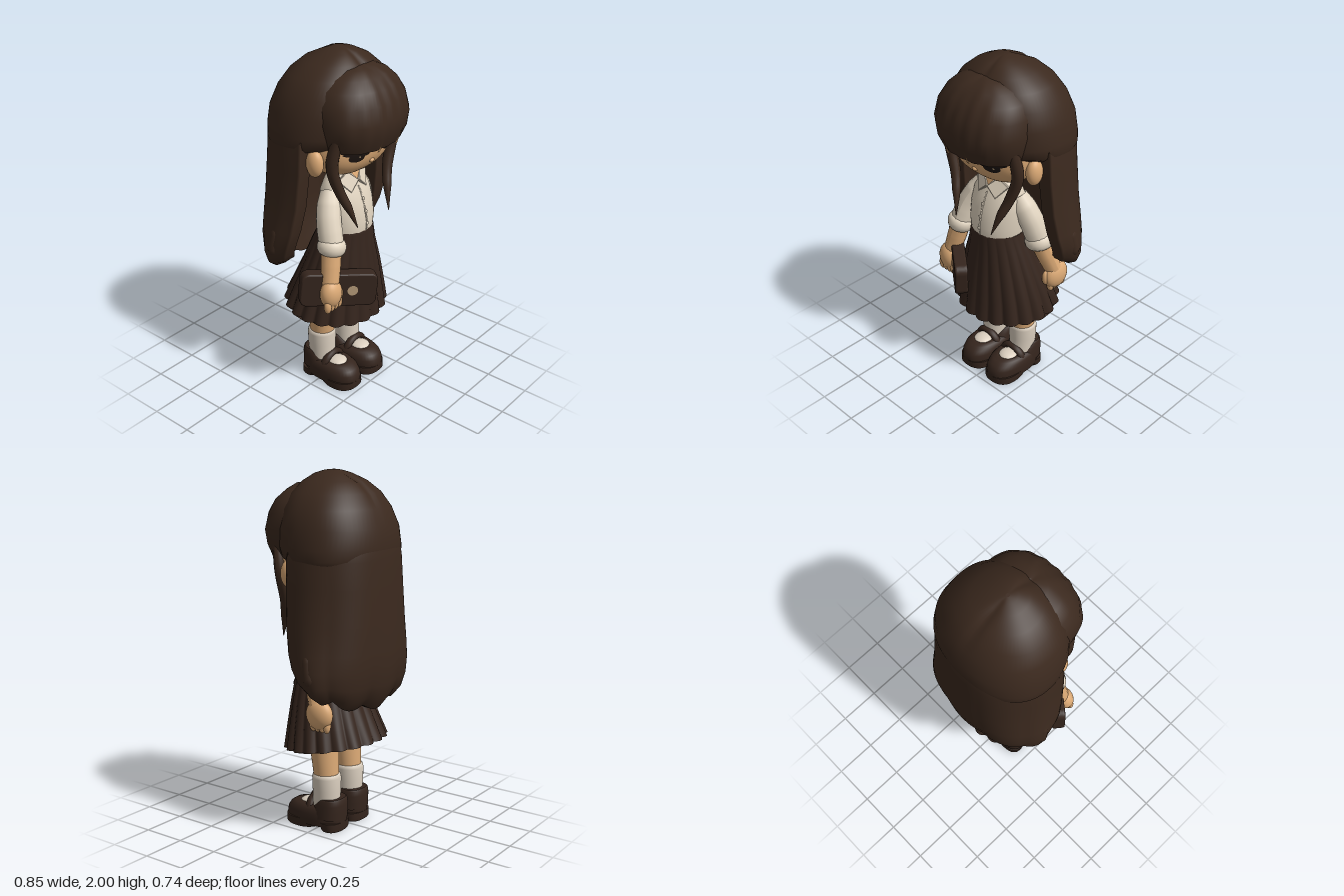
import * as THREE from 'three';

const mat = (name, color, side = THREE.FrontSide) => {
  const m = new THREE.MeshStandardMaterial({ color, side });
  m.name = name;
  return m;
};
const gauss = (d, w) => Math.exp(-((d / w) ** 2));

export function createModel() {
  const root = new THREE.Group();
  root.name = 'schoolgirlFigure';
  const hair = mat('hairBrown', 0x3b291e);
  const skirtMat = mat('skirtBrown', 0x35251d);
  const leather = mat('leatherBrown', 0x35251d);
  const skin = mat('skin', 0xdcaa76, THREE.DoubleSide);
  const cloth = mat('shirtCream', 0xe0d3bf, THREE.DoubleSide);
  const sockMat = mat('sockWhite', 0xdbcfbf);
  const ink = mat('eyeBlack', 0x1b1310);
  const lip = mat('lipBrown', 0xa9734e);
  const gold = mat('badgeTan', 0xb59a78);

  const add = (name, geo, m, pos = [0, 0, 0], parent = root) => {
    const mesh = new THREE.Mesh(geo, m);
    mesh.name = name;
    mesh.position.set(...pos);
    parent.add(mesh);
    return mesh;
  };

  // Skin over closed rings listed bottom to top, with both ends capped
  const loft = (rings) => {
    const n = rings[0].length, pos = rings.flat(2), idx = [];
    for (let i = 0; i < rings.length - 1; i++)
      for (let j = 0; j < n; j++) {
        const a = i * n + j, b = i * n + (j + 1) % n;
        idx.push(a, a + n, b, b, a + n, b + n);
      }
    [rings[0], rings[rings.length - 1]].forEach((ring, top) => {
      const o = pos.length / 3;
      pos.push(...ring.flat());
      for (let j = 0; j < n / 2 - 1; j++) {
        const q = [j, j + 1, n - 1 - j, j + 1, n - 2 - j, n - 1 - j].map((k) => o + k);
        idx.push(...(top ? q.reverse() : q));
      }
    });
    const g = new THREE.BufferGeometry();
    g.setAttribute('position', new THREE.Float32BufferAttribute(pos, 3));
    g.setIndex(idx);
    g.computeVertexNormals();
    return g;
  };

  // Rounded ring: height, half width, front z, back z
  const ring = ([y, rx, zf, zb], { n = 48, p = 2, cx = 0 } = {}) =>
    Array.from({ length: n }, (_, j) => {
      const t = ((j + 0.5) / n) * Math.PI * 2, c = Math.cos(t), s = Math.sin(t);
      const k = (Math.abs(c) ** p + Math.abs(s) ** p) ** (-1 / p);
      return [cx + rx * c * k, y, (zf + zb) / 2 + ((zf - zb) / 2) * s * k];
    });
  const body = (rows, opt) => loft(rows.map((r) => ring(r, opt)));

  // Tube along a smooth path with changing radius
  const taper = (points, radii, sides = 14) => {
    const curve = new THREE.CatmullRomCurve3(points.map((q) => new THREE.Vector3(...q)));
    const steps = 24, g = new THREE.TubeGeometry(curve, steps, 1, sides), v = new THREE.Vector3();
    const P = g.attributes.position;
    for (let i = 0; i < P.count; i++) {
      const t = Math.floor(i / (sides + 1)) / steps, f = t * (radii.length - 1);
      const k = Math.min(Math.floor(f), radii.length - 2);
      const c = curve.getPointAt(t), r = THREE.MathUtils.lerp(radii[k], radii[k + 1], f - k);
      v.fromBufferAttribute(P, i).sub(c).multiplyScalar(r).add(c);
      P.setXYZ(i, v.x, v.y, v.z);
    }
    g.computeVertexNormals();
    return g;
  };
  const ball = (rx, ry, rz) => new THREE.SphereGeometry(1, 28, 20).scale(rx, ry, rz);

  // Head: rounded box-like ellipsoid with a broad chin
  const P = 2.4, HY = 1.53;
  const headGeo = new THREE.SphereGeometry(1, 48, 36), hp = headGeo.attributes.position;
  for (let i = 0; i < hp.count; i++) {
    const [x, y, z] = [hp.getX(i), hp.getY(i), hp.getZ(i)];
    const k = (Math.abs(x) ** P + Math.abs(y) ** P + Math.abs(z) ** P) ** (-1 / P);
    hp.setXYZ(i, x * k * 0.28, HY + y * k * (y < 0 ? 0.2 : 0.3), 0.05 + z * k * 0.2);
  }
  headGeo.computeVertexNormals();
  add('head', headGeo, skin);
  add('neck', new THREE.CylinderGeometry(0.06, 0.07, 0.16, 24), skin, [0, 1.31, 0.03]);
  add('nose', ball(0.018, 0.014, 0.014), skin, [0, 1.425, 0.229]);

  // Painted face details follow the head surface
  const faceZ = (x, y) => 0.05 + 0.2 * Math.max(0, 1 - Math.abs(x / 0.28) ** P - Math.abs((y - HY) / 0.2) ** P) ** (1 / P);
  const decal = (name, x, y, rx, ry, tilt, lift, m) => {
    const g = new THREE.RingGeometry(0, 1, 28, 5).scale(rx, ry, 1).rotateZ(tilt).translate(x, y, 0);
    const a = g.attributes.position;
    for (let i = 0; i < a.count; i++) a.setZ(i, faceZ(a.getX(i), a.getY(i)) + lift);
    g.computeVertexNormals();
    add(name, g, m);
  };
  decal('mouth', 0, 1.372, 0.022, 0.004, 0, 0.004, lip);

  for (const s of [-1, 1]) {
    decal('eye', s * 0.128, 1.48, 0.05, 0.026, s * 0.1, 0.004, ink);
    decal('upperLash', s * 0.128, 1.498, 0.084, 0.013, s * 0.16, 0.006, ink);
    decal('eyeGlint', s * 0.128 + 0.014, 1.482, 0.006, 0.005, 0, 0.007, gold);
    add('ear', ball(0.04, 0.075, 0.05), skin, [s * 0.288, 1.46, 0.085]);
  }

  // Hair crown with a shallow centre parting
  const crown = [
    [1.52, 0.35, 0.18, -0.325], [1.545, 0.364, 0.22, -0.337], [1.6, 0.362, 0.245, -0.341], [1.7, 0.348, 0.25, -0.33],
    [1.8, 0.314, 0.235, -0.289], [1.88, 0.257, 0.2, -0.236], [1.94, 0.182, 0.155, -0.168],
    [1.98, 0.1, 0.1, -0.09], [1.996, 0.045, 0.05, -0.04], [2, 0.01, 0.01, -0.01],
  ].map((r) => ring(r, { n: 72, p: 2.25 }).map(([x, y, z]) =>
    [x, y - 0.012 * gauss(x, 0.025) * (y > 1.85 && y < 1.99 ? 1 : 0), z]));
  add('hairCrown', loft(crown), hair);

  // Fringe
  const fringe = [
    [1.53, 0.255, 0.33, -0.09], [1.6, 0.28, 0.36, -0.1], [1.68, 0.29, 0.37, -0.1], [1.77, 0.277, 0.348, -0.1],
    [1.84, 0.24, 0.31, -0.08], [1.89, 0.185, 0.265, -0.05], [1.925, 0.11, 0.215, 0], [1.938, 0.03, 0.16, 0.06],
  ].map((r) => ring(r, { n: 96, p: 2.3 }).map(([x, y, z]) =>
    [x, y - 0.008 * gauss(x, 0.03) * (y > 1.8 ? 1 : 0), z + (z > 0.1 ? 0.003 * Math.cos(x * 75) : 0)]));
  add('fringe', loft(fringe), hair);
  for (const x of [-0.08, 0.065]) {
    const gap = new THREE.Shape([[-0.01, 0], [0.01, 0], [0, 0.09]].map((q) => new THREE.Vector2(...q)));
    add('fringeGap', new THREE.ShapeGeometry(gap), skin, [x, 1.526, 0.337]).rotation.x = 0.38;
  }

  // Long back hair: crescent sections, squarer at the top, with scalloped ends
  const M = 72;
  const mane = [
    [0.75, 0.37, -0.285, -0.1], [0.8, 0.415, -0.33, -0.07], [0.87, 0.438, -0.351, -0.045], [0.96, 0.44, -0.362, -0.015],
    [1.05, 0.424, -0.364, 0.01], [1.2, 0.397, -0.36, 0.035], [1.4, 0.38, -0.353, 0.048], [1.54, 0.372, -0.346, 0.05],
    [1.64, 0.353, -0.334, 0.04], [1.72, 0.325, -0.305, 0.03],
  ].map(([y, rx, zb, zc], i) => {
    const low = Math.max(0, 1 - i / 5), wave = Math.max(0, 1 - i / 8), Q = 2.45 - 0.4 * low;
    const arc = (thick, dir) => Array.from({ length: M }, (_, j) => {
      const a = dir * (-Math.PI / 2 + (Math.PI * j) / (M - 1)), s = Math.sin(a), c = Math.cos(a);
      const k = (Math.abs(s) ** Q + Math.abs(c) ** Q) ** (-1 / Q);
      const lobe = Math.abs(Math.cos(a * 5)), w = 1 + 0.035 * wave * (lobe - 0.6);
      const drop = low ** 2 * (0.085 * s * s - 0.035 * lobe);
      const tuck = 1 - (0.04 + 0.1 * low) * Math.abs(s) ** 24;
      return [(rx - thick) * w * k * s * tuck, y + drop, zc - (zc - zb - thick) * w * k * c];
    });
    return [...arc(0, 1), ...arc(i ? 0.08 : 0.045, -1)];
  });
  add('backHair', loft(mane), hair);

  for (const s of [-1, 1]) {
    add('sideLock', taper([[s * 0.365, 1.14, -0.1], [s * 0.38, 1.02, -0.11], [s * 0.385, 0.92, -0.13], [s * 0.365, 0.82, -0.15]],
      [0.003, 0.036, 0.04, 0.003]), hair);
    add('faceLock', taper([[s * 0.24, 1.62, 0.2], [s * 0.252, 1.45, 0.17], [s * 0.205, 1.3, 0.18], [s * 0.165, 1.19, 0.215], [s * 0.135, 1.08, 0.25]],
      [0.03, 0.033, 0.03, 0.024, 0.002]), hair);
  }

  // Shirt
  add('shirt', body([
    [0.98, 0.152, 0.2, -0.08], [1.05, 0.162, 0.205, -0.08], [1.15, 0.165, 0.185, -0.075],
    [1.22, 0.16, 0.158, -0.065], [1.28, 0.125, 0.128, -0.05], [1.33, 0.068, 0.105, -0.035],
  ]), cloth);
  add('placket', taper([[0, 1.0, 0.201], [0, 1.06, 0.203], [0, 1.15, 0.183], [0, 1.25, 0.142]], [0.005, 0.005, 0.005], 8), cloth);
  for (const [y, z] of [[1.04, 0.208], [1.11, 0.198], [1.18, 0.178]])
    add('button', ball(0.01, 0.01, 0.005), cloth, [0, y, z]);
  for (const s of [-1, 1]) {
    const flap = new THREE.Shape([[0, 0], [s * 0.062, -0.05], [s * 0.115, 0.03], [s * 0.05, 0.06]].map((q) => new THREE.Vector2(...q)));
    const g = new THREE.ExtrudeGeometry(flap, { depth: 0.012, bevelEnabled: true, bevelSize: 0.003, bevelThickness: 0.003, bevelSegments: 1 });
    add('collar', g, cloth, [0, 1.28, 0.135]).rotation.set(-0.4, s * 0.35, 0);
  }
  const vee = new THREE.Shape([[0, 0], [0.04, 0.05], [-0.04, 0.05]].map((q) => new THREE.Vector2(...q)));
  add('openNeck', new THREE.ShapeGeometry(vee), skin, [0, 1.285, 0.136]).rotation.x = -0.35;

  // Arms: shoulder, elbow and hand for each side
  for (const { shoulder, elbow, wrist, palm, size, front } of [
    { shoulder: [0.12, 1.23, 0.03], elbow: [0.23, 0.96, -0.025], wrist: [0.275, 0.76, -0.095], palm: [0.284, 0.715, -0.11], size: [0.05, 0.085, 0.082], front: 1 },
    { shoulder: [-0.12, 1.23, 0.04], elbow: [-0.215, 0.96, 0.135], wrist: [-0.265, 0.76, 0.165], palm: [-0.275, 0.71, 0.18], size: [0.068, 0.085, 0.055], front: -1 },
  ]) {
    const mid = shoulder.map((v, i) => (v + elbow[i]) / 2 + (i === 0 ? front * 0.015 : 0));
    add('sleeve', taper([shoulder, mid, elbow], [0.05, 0.066, 0.069, 0.07, 0.068]), cloth);
    const cuff = add('cuff', new THREE.TorusGeometry(0.05, 0.03, 14, 32).scale(1, 1, 1.45).rotateX(Math.PI / 2), cloth, elbow);
    cuff.rotation.z = front * 0.18;
    add('forearm', taper([elbow, elbow.map((v, i) => (v + wrist[i]) / 2), wrist], [0.056, 0.055, 0.05]), skin);
    add('hand', ball(...size), skin, palm);
    const [x, y, z] = palm;
    for (let k = 0; k < 4; k++) {
      const o = (k - 1.5) * 0.03;
      add('finger', ball(0.022, 0.042, 0.021), skin, front > 0 ? [x, y - 0.056, z + o - 0.005] : [x + o, y - 0.06, z + 0.015]);
    }
    add('thumb', ball(0.022, 0.045, 0.022), skin, front > 0 ? [x - 0.01, y, z + 0.07] : [x + 0.055, y - 0.01, z + 0.015]);
  }

  // Pleated skirt, hem higher at the back
  const skirt = [
    [0.485, 0.316, 0.258, -0.29], [0.6, 0.287, 0.244, -0.242], [0.75, 0.242, 0.227, -0.18],
    [0.9, 0.187, 0.208, -0.125], [0.985, 0.16, 0.204, -0.088], [1.0, 0.157, 0.2, -0.085],
  ].map((r, i) => ring(r, { n: 240 }).map(([x, y, z], j) => {
    const k = Math.max(0, 1 - i / 4), w = 1 + (0.005 + 0.07 * k) * (Math.abs(Math.sin((Math.PI * j) / 12)) - 0.75);
    return [x * w, y - 0.125 * z * k, z * w];
  }));
  add('skirt', loft(skirt), skirtMat);

  // Legs, socks and strap shoes
  for (const s of [-1, 1]) {
    const cx = s * 0.11, opt = { cx };
    add('leg', body([[0.28, 0.068, 0.04, -0.1], [0.42, 0.08, 0.058, -0.095], [0.56, 0.087, 0.078, -0.09]], opt), skin);
    add('sock', body([[0.1, 0.072, 0.055, -0.105], [0.17, 0.074, 0.05, -0.108], [0.23, 0.079, 0.05, -0.112],
      [0.3, 0.082, 0.052, -0.112], [0.318, 0.079, 0.048, -0.108], [0.322, 0.068, 0.04, -0.1]], opt), sockMat);
    add('sockFoot', ball(0.058, 0.032, 0.062), sockMat, [s * 0.105, 0.125, 0.085]);
    const shoe = { cx: s * 0.103, p: 2.4 };
    add('frontSole', body([[0, 0.096, 0.222, 0.01], [0.008, 0.101, 0.229, 0], [0.05, 0.102, 0.229, -0.02]], shoe), leather);
    add('heel', body([[0, 0.087, -0.025, -0.138], [0.008, 0.091, -0.02, -0.142], [0.05, 0.095, 0, -0.142]], shoe), leather);
    add('shoe', body([[0.025, 0.1, 0.227, -0.14], [0.06, 0.103, 0.23, -0.142], [0.09, 0.102, 0.224, -0.142],
      [0.115, 0.097, 0.208, -0.14], [0.132, 0.085, 0.182, -0.136], [0.138, 0.07, 0.155, -0.12]], shoe), leather);
    add('heelCounter', body([[0.07, 0.098, 0.06, -0.142], [0.11, 0.097, 0.05, -0.143], [0.15, 0.092, 0.025, -0.143],
      [0.178, 0.087, 0, -0.138], [0.185, 0.08, -0.01, -0.13]], shoe), leather);
    const strap = add('strap', new THREE.TorusGeometry(0.078, 0.016, 12, 28, Math.PI).scale(1, 1, 1.4), leather, [s * 0.103, 0.098, 0.04]);
    strap.rotation.x = 0.12;
  }

  // Handbag, turned and tilted in the right hand
  const bag = new THREE.Group();
  bag.name = 'handbag';
  bag.position.set(-0.21, 0.715, 0.175);
  bag.rotation.set(0, -0.67, -0.1, 'YXZ');
  root.add(bag);
  const outline = new THREE.Shape(), r = 0.035;
  [[1, -1, -Math.PI / 2], [1, 1, 0], [-1, 1, Math.PI / 2], [-1, -1, Math.PI]].forEach(([x, y, a]) =>
    outline.absarc(x * (0.205 - r), y * (0.09 - r), r, a, a + Math.PI / 2));
  add('bagBody', new THREE.ExtrudeGeometry(outline, { depth: 0.05, bevelSize: 0.01, bevelThickness: 0.012, bevelSegments: 4 }).translate(0, 0, -0.025), leather, [0, 0, 0], bag);
  add('badge', new THREE.CircleGeometry(0.03, 20), gold, [0.075, 0, 0.039], bag);

  return root;
}
